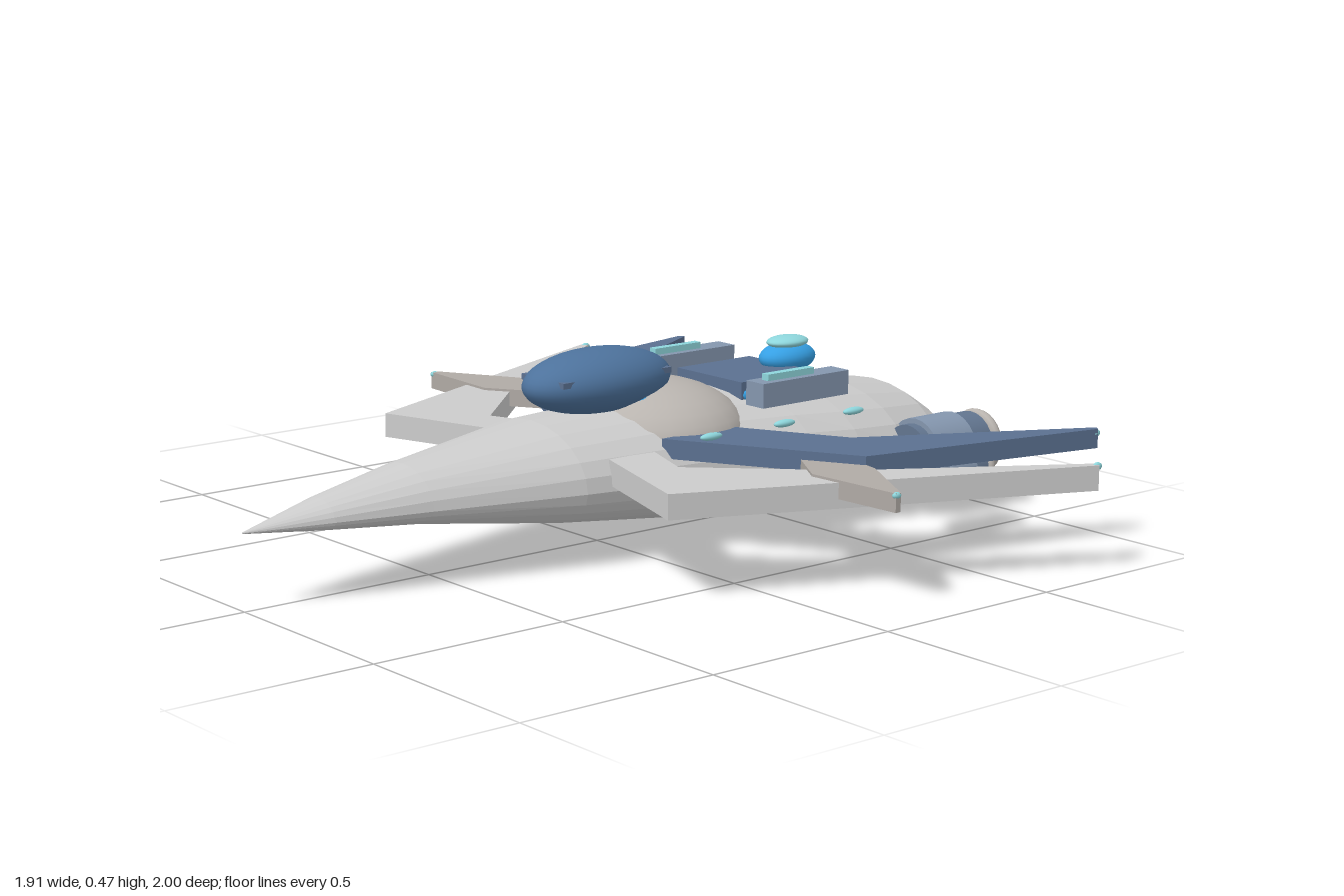
import * as THREE from 'three';

const paint = (color, flat = false) =>
  new THREE.MeshStandardMaterial({ color, flatShading: flat });
const hullGrey = paint(0xcccccc, true);
const wingGrey = paint(0xcccccc, true);
const taupe = paint(0xb9b4af);
const finTaupe = paint(0xb0aaa5, true);
const navy = paint(0x5b7090, true);
const canopyBlue = paint(0x4d729c);
const steel = paint(0x8496ae);
const darkSteel = paint(0x62758f);
const brightBlue = paint(0x36a0e4);
const cyan = paint(0x8ed6dc);

export function createModel() {
  const model = new THREE.Group();

  const add = (name, geo, mat, x = 0, y = 0, z = 0, parent = model) => {
    const mesh = new THREE.Mesh(geo, mat);
    mesh.name = name;
    mesh.position.set(x, y, z);
    parent.add(mesh);
    return mesh;
  };
  const box = (name, mat, w, h, d, x, y, z) =>
    add(name, new THREE.BoxGeometry(w, h, d), mat, x, y, z);
  const ellipsoid = (name, mat, rx, ry, rz, x, y, z, seg = 24) =>
    add(name, new THREE.SphereGeometry(1, seg, seg * 2 / 3).scale(rx, ry, rz), mat, x, y, z);

  // Fuselage: a cylinder whose rows follow [z, half width, top, widest height, bottom]
  const rows = [
    [1, 0.002, 0.187, 0.185, 0.183], [0.8, 0.068, 0.235, 0.19, 0.163],
    [0.57, 0.122, 0.28, 0.19, 0.143], [0.2, 0.215, 0.33, 0.19, 0.088],
    [-0.2, 0.258, 0.345, 0.18, 0.042], [-0.45, 0.295, 0.34, 0.165, 0.017],
    [-0.6, 0.306, 0.33, 0.155, 0.007], [-0.75, 0.295, 0.315, 0.15, 0.005],
    [-0.915, 0.24, 0.29, 0.15, 0.014], [-0.965, 0.222, 0.258, 0.15, 0.042],
  ];
  const steps = rows.length - 1;
  const bent = new THREE.CylinderGeometry(1, 1, 1, 24, steps).rotateX(Math.PI / 2);
  const p = bent.attributes.position;
  for (let i = 0; i < p.count; i++) {
    const [z, w, top, mid, low] = rows[Math.round((0.5 - p.getZ(i)) * steps)];
    const y = p.getY(i);
    p.setXYZ(i, p.getX(i) * w, mid + y * (y > 0 ? top - mid : mid - low), z);
  }
  const hull = bent.toNonIndexed();
  hull.computeVertexNormals();
  add('fuselage', hull, hullGrey);

  // Dome behind the cockpit, canopy and its clips
  ellipsoid('dorsalDome', taupe, 0.24, 0.137, 0.225, 0, 0.25, -0.175);
  ellipsoid('canopy', canopyBlue, 0.114, 0.078, 0.21, 0, 0.402, 0, 32);
  for (const s of [-1, 1]) for (const z of [-0.145, 0.145])
    box('canopyClip', navy, 0.022, 0.014, 0.04, s * 0.07, 0.418, z);

  // Deck plate with glowing edges, and the turret
  box('deckPlate', navy, 0.24, 0.1, 0.24, 0, 0.318, -0.475);
  for (const s of [-1, 1]) {
    ellipsoid('deckGlow', brightBlue, 0.02, 0.03, 0.1, s * 0.12, 0.335, -0.46, 16);
    ellipsoid('collarGlow', brightBlue, 0.02, 0.012, 0.035, s * 0.075, 0.355, -0.09, 16);
  }
  ellipsoid('turretBase', brightBlue, 0.056, 0.038, 0.082, 0, 0.383, -0.615);
  ellipsoid('turretCap', cyan, 0.043, 0.016, 0.06, 0, 0.422, -0.615);

  // Flat plate cut from a plan outline of [x, z] points
  const plate = (name, mat, outline, bottom, top, s) => {
    const shape = new THREE.Shape(outline.map(([x, z]) => new THREE.Vector2(s * x, -z)));
    const geo = new THREE.ExtrudeGeometry(shape, { depth: top - bottom, bevelEnabled: false });
    add(name, geo.rotateX(-Math.PI / 2), mat, 0, bottom, 0);
  };
  const lowerWing = [[0.2, 0.125], [0.545, 0.238], [0.955, -0.715], [0.94, -0.73],
    [0.63, -0.235], [0.36, 0.05], [0.2, -0.01]];
  const upperWing = [[0.2, -0.035], [0.24, -0.055], [0.635, -0.28], [0.772, -0.915],
    [0.758, -0.925], [0.47, -0.39], [0.235, -0.265], [0.2, -0.25]];
  const fin = [[0.875, -0.14], [0.62, -0.125], [0.48, -0.215], [0.33, -0.28],
    [0.385, -0.4], [0.46, -0.32], [0.67, -0.275], [0.875, -0.155]];

  // Engine pod, pointing backwards from its front end; r is the radius, l the length
  const engine = (name, x, y, zFront, r, l) => {
    const pod = new THREE.Group();
    pod.name = name;
    pod.position.set(x, y, zFront);
    model.add(pod);
    const ring = (part, mat, radius, from, to) =>
      add(part, new THREE.CylinderGeometry(radius * r, radius * r, (to - from) * l, 24)
        .rotateX(Math.PI / 2), mat, 0, 0, -(from + to) / 2 * l, pod);
    ring('intake', darkSteel, 0.85, 0, 0.12);
    ring('casing', steel, 1, 0.1, 0.6);
    ring('collar', darkSteel, 0.91, 0.6, 0.86);
    ring('glowBand', brightBlue, 0.8, 0.86, 0.92);
    add('nozzleRim', new THREE.TorusGeometry(0.79 * r, 0.16 * r, 10, 28), taupe,
      0, 0, -0.95 * l, pod);
    ring('exhaustGlow', cyan, 0.72, 0.9, 0.975);
  };

  for (const s of [-1, 1]) {
    plate('lowerWing', wingGrey, lowerWing, 0.2, 0.26, s);
    plate('upperWing', navy, upperWing, 0.24, 0.287, s);
    plate('sideFin', finTaupe, fin, 0.222, 0.266, s);

    // Wing tip lights
    ellipsoid('lowerTipLight', cyan, 0.008, 0.01, 0.014, s * 0.944, 0.255, -0.72, 12);
    ellipsoid('upperTipLight', cyan, 0.008, 0.01, 0.014, s * 0.764, 0.275, -0.915, 12);
    ellipsoid('finTipLight', cyan, 0.008, 0.008, 0.012, s * 0.87, 0.26, -0.147, 12);

    engine('mainEngine', s * 0.307, 0.166, -0.74, 0.088, 0.26);
    engine('smallEngine', s * 0.49, 0.167, -0.64, 0.061, 0.165);

    // Shoulder blocks with light strips, and side lamps
    box('shoulderBlock', steel, 0.062, 0.06, 0.28, s * 0.211, 0.358, -0.457);
    box('shoulderStrip', cyan, 0.022, 0.018, 0.15, s * 0.211, 0.395, -0.425);
    for (const z of [-0.07, -0.3, -0.525])
      ellipsoid('sideLamp', cyan, 0.012, 0.009, 0.033, s * 0.336, 0.311, z, 16);
  }
  return model;
}
